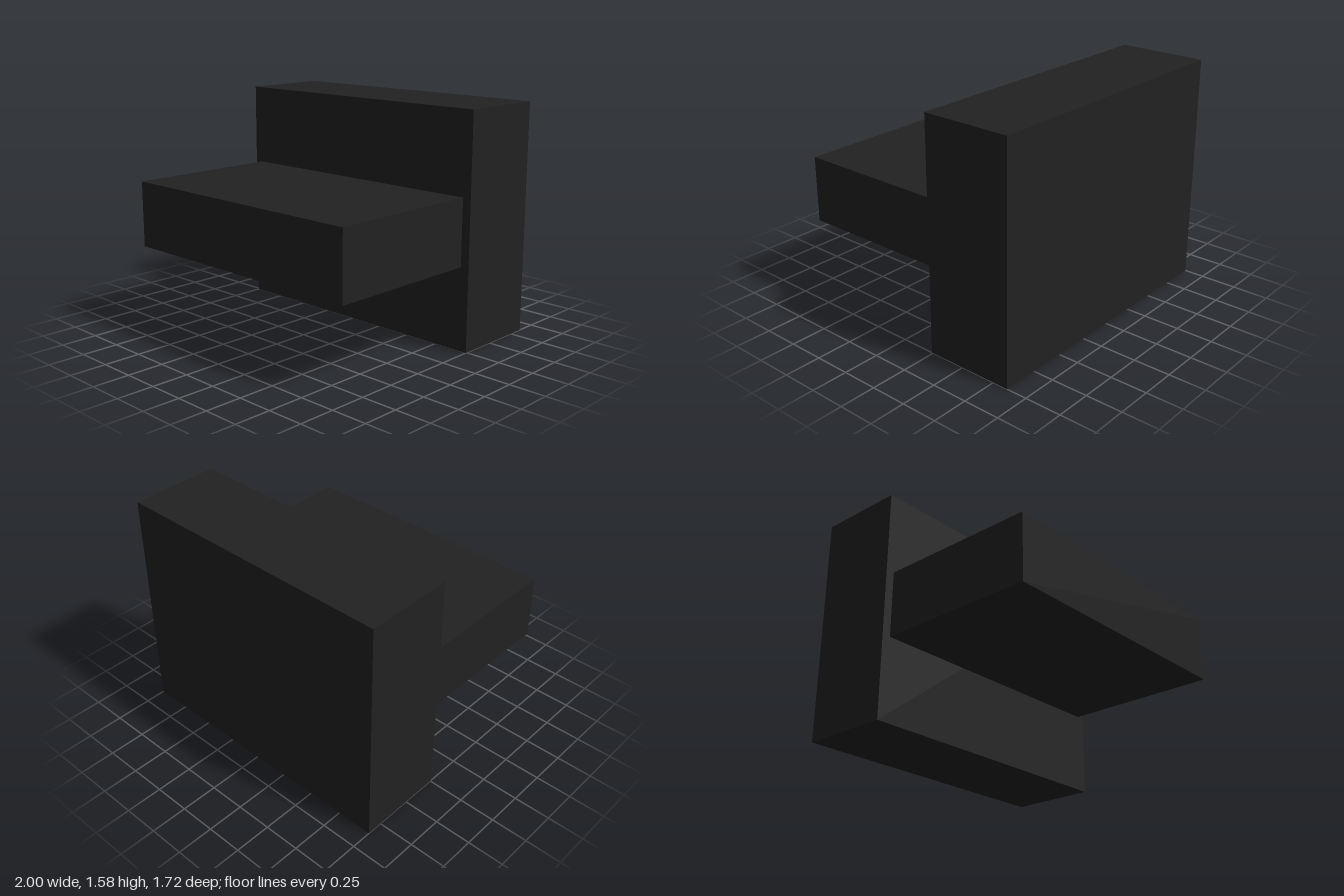
import * as THREE from 'three';

// Box given by its lower and upper corners
function block(name, min, max, material) {
  const size = max.map((v, i) => v - min[i]);
  const mesh = new THREE.Mesh(new THREE.BoxGeometry(...size), material);
  mesh.position.set(...max.map((v, i) => (v + min[i]) / 2));
  mesh.name = name;
  return mesh;
}

export function createModel() {
  const group = new THREE.Group();
  group.name = 'blockWithLedge';

  const charcoal = new THREE.MeshStandardMaterial({ color: 0x222222 });
  charcoal.name = 'charcoal';

  // Tall upright slab at the back
  group.add(block('backSlab', [-1, 0, -0.858], [1, 1.58, -0.24], charcoal));
  // Thick ledge standing out from the slab's front face
  group.add(block('frontLedge', [-0.94, 0.565, -0.24], [0.94, 1.02, 0.858], charcoal));

  return group;
}
